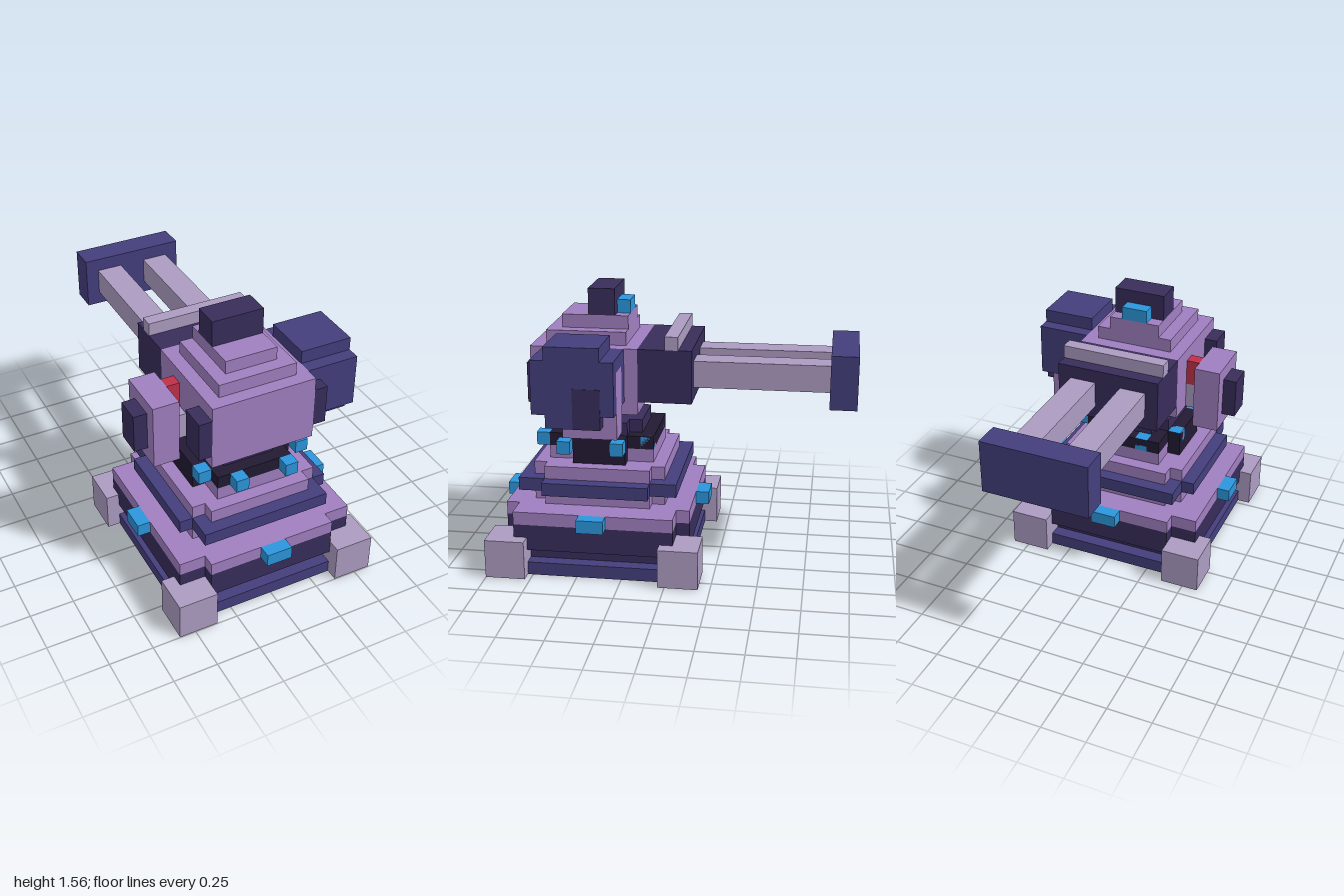
import * as THREE from 'three';

const U = 2 / 27;            // one block
const Z0 = 1 - 8 * U;        // centre of the base along z
const mat = (color) => new THREE.MeshStandardMaterial({ color, flatShading: true });
const M = {
  purple: mat(0xa07fc0), pale: mat(0xac9cc2), dark: mat(0x382d5a), indigo: mat(0x443e7c),
  black: mat(0x221a33), blue: mat(0x2c96dc), red: mat(0xc03048),
};

export function createModel() {
  const model = new THREE.Group();
  model.name = 'turret';
  const section = (name) => {
    const g = new THREE.Group();
    g.name = name;
    model.add(g);
    return g;
  };

  // Box from block coordinates [min, max] on each axis
  const box = (parent, name, m, x, y, z) => {
    const size = [x, y, z].map(([a, b]) => (b - a) * U);
    const mid = [x, y, z].map(([a, b]) => (a + b) * U / 2);
    const mesh = new THREE.Mesh(new THREE.BoxGeometry(...size), m);
    mesh.position.set(mid[0], mid[1], mid[2] + Z0);
    mesh.name = name;
    parent.add(mesh);
  };
  const sym = (a) => [-a, a];
  const side = (s, a, b) => (s > 0 ? [a, b] : [-b, -a]);

  // Layer with notched corners: two crossing boxes
  const layer = (parent, name, m, y, wide, long) => {
    for (const [x, z] of [wide, long]) box(parent, name, m, sym(x), y, sym(z));
  };

  // Stepped base
  const base = section('base');
  box(base, 'basePlate', M.indigo, sym(7), [0, 1], sym(7));
  box(base, 'baseRecess', M.dark, sym(6), [1, 2], sym(6));
  layer(base, 'baseBody', M.dark, [2, 4], [7, 6], [5, 7]);
  layer(base, 'baseDeck', M.purple, [4, 5], [7, 6], [5, 7]);
  layer(base, 'lowerStep', M.purple, [5, 6], [5, 4], [4, 5]);
  layer(base, 'stepRing', M.indigo, [6, 7], [6, 4], [5, 6]);
  layer(base, 'upperStep', M.purple, [7, 8], [5, 4], [4, 5]);
  for (const s of [-1, 1]) {
    for (const t of [-1, 1]) {
      box(base, 'foot', M.pale, side(s, 5, 8), [0.04, 3], side(t, 5, 8));
    }
    box(base, 'deckLight', M.blue, sym(1), [4, 5], side(s, 7, 8));
    box(base, 'deckLight', M.blue, side(s, 7, 8), [4, 5], sym(1));
  }

  // Turning ring with its eight lights
  const ring = section('turningRing');
  box(ring, 'ringSeat', M.purple, sym(3), [8, 9], sym(4));
  box(ring, 'ringCrossbar', M.black, sym(4), [8, 10], sym(2));
  box(ring, 'ringBlock', M.black, sym(3), [9, 10], sym(4));
  layer(ring, 'ringCap', M.dark, [10, 11], [3, 2], [2, 3]);
  for (const a of [-4, 4]) {
    for (const b of [-2, 2]) {
      box(ring, 'ringLight', M.blue, [a, a + 1], [9, 10], [b, b + 1]);
      box(ring, 'ringLight', M.blue, [b, b + 1], [9, 10], [a, a + 1]);
    }
  }

  // Floating head with stepped roof
  const head = section('head');
  box(head, 'headBody', M.purple, sym(4), [12, 17], [-3, 5]);
  box(head, 'roofStep', M.purple, sym(3), [17, 18], [-2, 4]);
  box(head, 'roofStep', M.purple, sym(2), [18, 19], [-2, 3]);
  box(head, 'sensorTower', M.dark, sym(2), [19, 21], sym(1));
  box(head, 'sensorLight', M.blue, sym(1), [19, 20], [-2, -1]);

  // Side arms and cheeks, mirrored
  for (const s of [-1, 1]) {
    box(head, 'cheek', M.dark, side(s, 4, 5), [13, 16], [3, 5]);
    box(head, 'arm', M.purple, side(s, 5, 7), [11, 16], sym(2));
    box(head, 'armCap', M.dark, side(s, 7, 8.03), [12, 15], sym(1));
  }
  box(head, 'armJoint', M.pale, [-5, -4], [12, 14], sym(1));
  box(head, 'redSwitch', M.red, [-5, -4], [14, 16], [-1, 0]);

  // Large pod on one side
  box(head, 'sidePod', M.indigo, [4, 8], [13, 17], [-2, 4]);
  box(head, 'sidePod', M.indigo, [4, 8], [12, 18], [-1, 3]);

  // Twin barrels pointing backward
  const gun = section('gun');
  box(gun, 'breech', M.dark, sym(4), [13, 17], [-7, -3]);
  box(gun, 'breechRail', M.pale, sym(4), [17, 18], [-6, -5]);
  for (const s of [-1, 1]) box(gun, 'barrel', M.pale, side(s, 1, 3), [14, 16], [-17, -7]);
  box(gun, 'muzzle', M.indigo, sym(4), [13, 17], [-19, -17]);

  return model;
}
